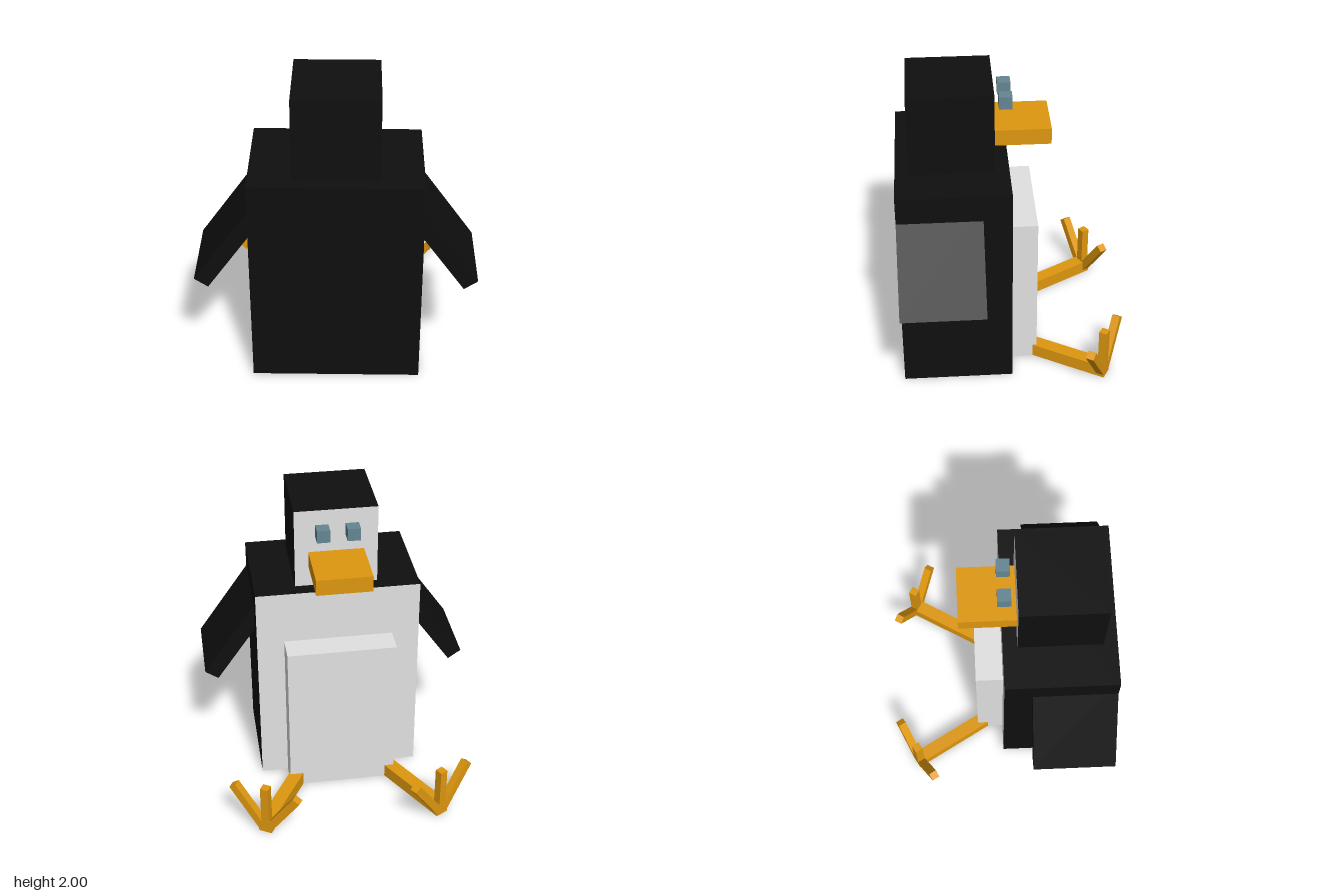
import * as THREE from 'three';

const mat = (name, color) => {
  const m = new THREE.MeshStandardMaterial({ color });
  m.name = name;
  return m;
};

export function createModel() {
  const black = mat('black', 0x0f0f0f);
  const white = mat('white', 0xe1e1e1);
  const orange = mat('orange', 0xde970f);
  const eyeBlue = mat('eyeBlue', 0x658692);

  const model = new THREE.Group();
  model.name = 'penguin';

  // Box placed by its centre; material may be an array for the six faces
  const box = (name, size, pos, material, parent = model) => {
    const mesh = new THREE.Mesh(new THREE.BoxGeometry(...size), material);
    mesh.name = name;
    mesh.position.set(...pos);
    parent.add(mesh);
    return mesh;
  };

  // All faces black but one white; face order +x, -x, +y, -y, +z, -z
  const blackWithWhite = (face) =>
    Array.from({ length: 6 }, (_, i) => (i === face ? white : black));

  // Body, belly and head, facing -z
  box('body', [1.09, 1.455, 0.727], [0, 0.7275, 0.3765], blackWithWhite(5));
  box('belly', [0.727, 1.09, 0.18], [0, 0.545, -0.075], white);
  box('head', [0.545, 0.545, 0.545], [0, 1.7275, 0.3785], blackWithWhite(5));
  box('beak', [0.364, 0.109, 0.364], [0, 1.65, -0.077], orange);

  const tilt = THREE.MathUtils.degToRad(35);
  const splay = THREE.MathUtils.degToRad(30);

  for (const s of [1, -1]) {
    const side = s > 0 ? 'left' : 'right';

    // Eye, set just in front of the face
    box(side + 'Eye', [0.085, 0.085, 0.085], [s * 0.098, 1.873, 0.028], eyeBlue);

    // Wing, white on its inner face
    const wing = box(side + 'Wing', [0.106, 0.727, 0.545], [s * 0.643, 1.04, 0.4675],
      blackWithWhite(s > 0 ? 1 : 0));
    wing.rotation.z = s * tilt;

    // Leg with three upright toes
    const leg = new THREE.Group();
    leg.name = side + 'LegAndFoot';
    leg.position.set(s > 0 ? 0.576 : -0.603, 0, -0.597);
    leg.rotation.y = -s * splay;
    model.add(leg);
    box(side + 'Leg', [0.091, 0.091, 0.727], [0, 0.0475, 0.336], orange, leg);
    for (const t of [-1, 0, 1]) {
      const toe = box(side + 'Toe', [0.0545, 0.362, 0.0545],
        [t * (0.02 + 0.182 * Math.sin(tilt)), t ? 0.033 + 0.182 * Math.cos(tilt) : 0.184, 0],
        orange, leg);
      toe.rotation.z = -t * tilt;
    }
  }
  return model;
}
